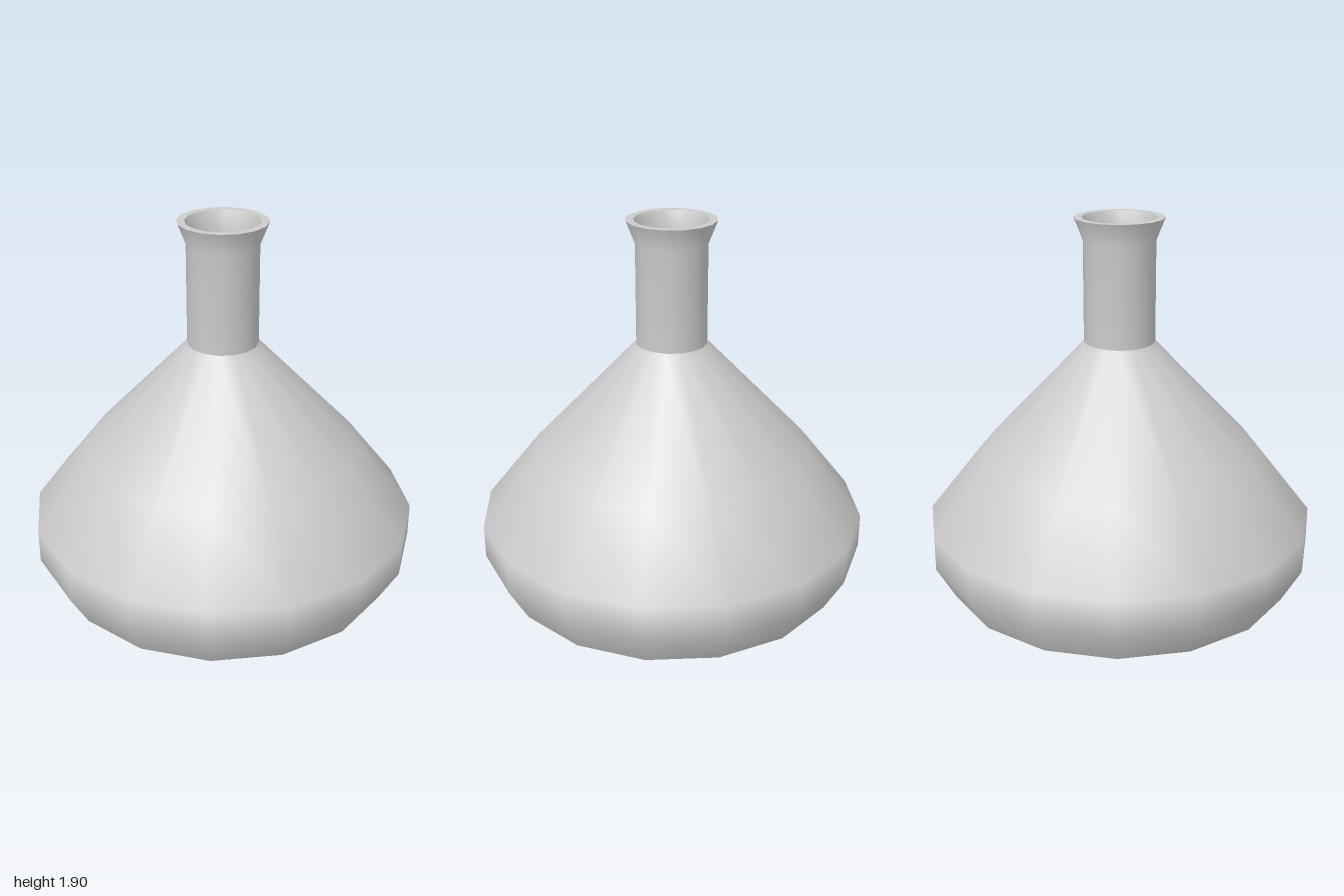
import * as THREE from 'three';

const SIDES = 16;

export function createModel() {
  const group = new THREE.Group();
  const material = new THREE.MeshStandardMaterial({ color: 0xcccccc });

  // Revolves a [radius, height] profile; rising profiles face outward, falling ones inward
  function lathe(name, profile) {
    const points = profile.map(([r, y]) => new THREE.Vector2(r, y));
    const mesh = new THREE.Mesh(new THREE.LatheGeometry(points, SIDES), material);
    mesh.name = name;
    group.add(mesh);
  }

  // Outer shell, split where the surface has hard edges
  lathe('base', [[0, 0], [0.9, 0]]);
  lathe('body', [[0.9, 0], [1, 0.18], [1, 0.355], [0.72, 0.71], [0.18, 1.28]]);
  lathe('neck', [[0.18, 1.28], [0.18, 1.79], [0.225, 1.905]]);
  lathe('rim', [[0.225, 1.905], [0.186, 1.905]]);

  // Hollow inside, seen through the mouth
  lathe('neckInside', [[0.186, 1.905], [0.136, 1.78], [0.136, 1.26]]);
  lathe('bodyInside', [[0.136, 1.26], [0.68, 0.69], [0.95, 0.34], [0.95, 0.19], [0.87, 0.04]]);
  lathe('floorInside', [[0.87, 0.04], [0, 0.04]]);

  return group;
}
